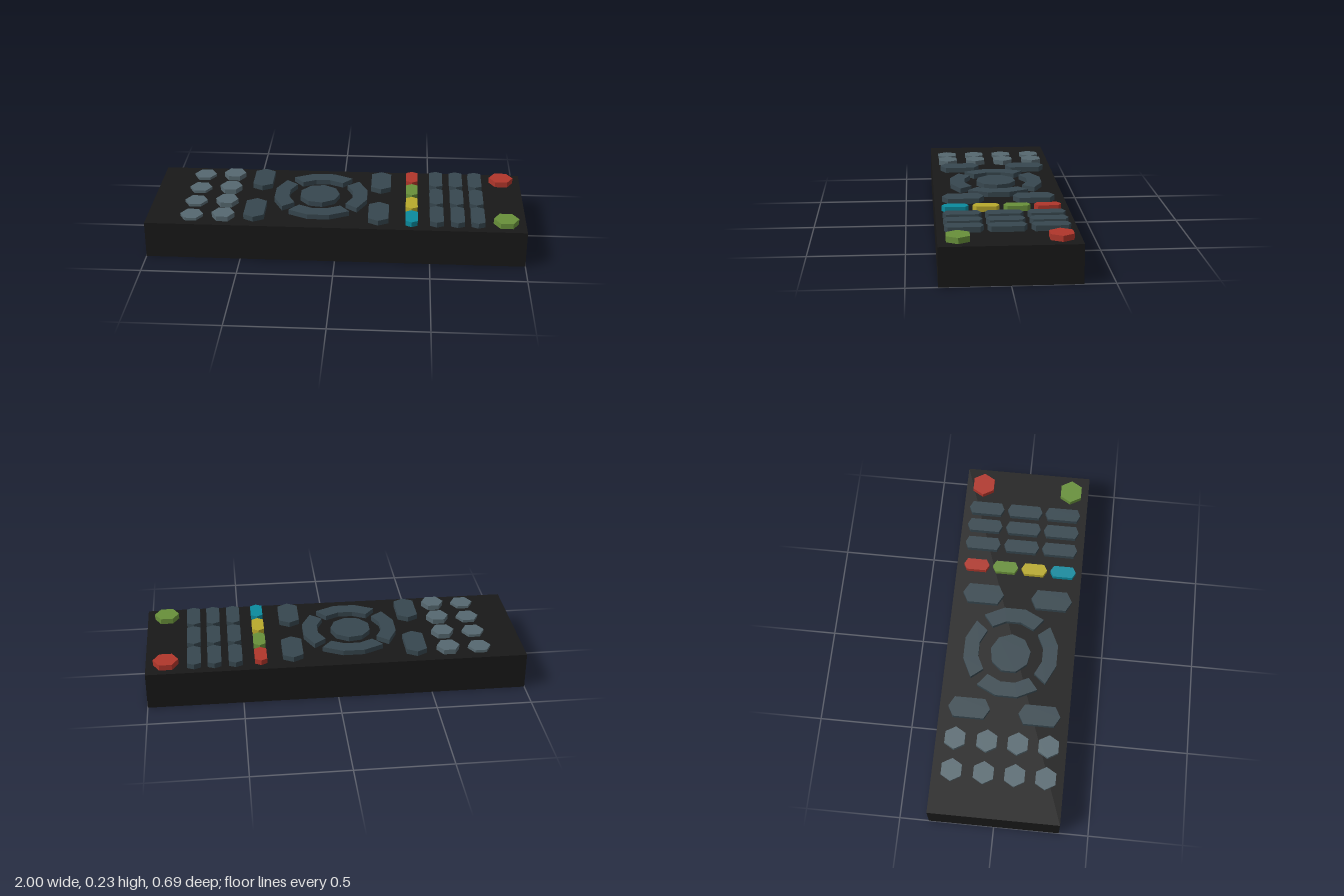
import * as THREE from 'three';

const BODY_TOP = 0.198;

export function createModel() {
  const model = new THREE.Group();
  const mat = (color) => new THREE.MeshStandardMaterial({ color, flatShading: true });
  const black = mat(0x181818), slate = mat(0x37474f), grey = mat(0x566870);
  const red = mat(0xb0362b), green = mat(0x68903a), yellow = mat(0xb9a92c), cyan = mat(0x0a8a9e);

  // Raise a flat outline of [x, z] points into a button on the body
  function button(name, outline, x, z, material, top = 0.226) {
    const shape = new THREE.Shape(outline.map(([px, pz]) => new THREE.Vector2(px, -pz)));
    const geometry = new THREE.ExtrudeGeometry(shape, { depth: top - BODY_TOP + 0.004, bevelEnabled: false });
    geometry.rotateX(-Math.PI / 2);
    const mesh = new THREE.Mesh(geometry, material);
    mesh.name = name;
    mesh.position.set(x, BODY_TOP - 0.004, z);
    model.add(mesh);
  }

  // Regular polygon with a corner on +x
  const polygon = (sides, r) => Array.from({ length: sides }, (_, i) => {
    const a = (i / sides) * Math.PI * 2;
    return [r * Math.cos(a), r * Math.sin(a)];
  });

  // Long hexagon pointing along z
  const pill = (w, l, tip) => [[0, l], [w, l - tip], [w, tip - l], [0, -l], [-w, tip - l], [-w, l - tip]];

  // Ring segment with three flat sides, centred on an angle
  function ringSegment(angle, inner, outer, half) {
    const arc = (r) => [-1, -1 / 3, 1 / 3, 1].map((t) => [
      r * Math.cos(angle + t * half), r * Math.sin(angle + t * half)]);
    return [...arc(outer), ...arc(inner).reverse()];
  }

  // Body
  const body = new THREE.Mesh(new THREE.BoxGeometry(2, BODY_TOP, 0.69), black);
  body.name = 'body';
  body.position.y = BODY_TOP / 2;
  model.add(body);

  // Two columns of small hexagonal buttons
  for (const z of [-0.243, -0.075, 0.088, 0.25]) {
    button('playbackButton', polygon(6, 0.061), -0.763, z, grey, 0.213);
    button('playbackButton', polygon(6, 0.061), -0.595, z, grey, 0.225);
  }

  // Four long buttons around the pad
  for (const [x, z] of [[-0.424, -0.187], [-0.432, 0.187], [0.23, -0.18], [0.225, 0.194]]) {
    button('rockerButton', pill(0.054, 0.111, 0.03), x, z, slate);
  }

  // Navigation pad
  button('selectButton', polygon(9, 0.109), -0.1, 0, slate, 0.225);
  for (let i = 0; i < 4; i++) {
    button('directionButton', ringSegment((i * Math.PI) / 2, 0.176, 0.257, 0.68), -0.092, 0.001, slate, 0.225);
  }

  // Coloured row
  [red, green, yellow, cyan].forEach((material, i) => {
    button('colourButton', pill(0.032, 0.07, 0.018), 0.4, -0.235 + i * 0.159, material);
  });

  // Number pad
  for (const z of [-0.215, 0, 0.212]) {
    for (const x of [0.532, 0.642, 0.748]) button('numberButton', pill(0.036, 0.097, 0.017), x, z, slate);
  }

  // End buttons
  button('powerButton', polygon(6, 0.066), 0.895, -0.248, red, 0.228);
  button('inputButton', polygon(6, 0.066), 0.895, 0.247, green, 0.228);

  return model;
}
